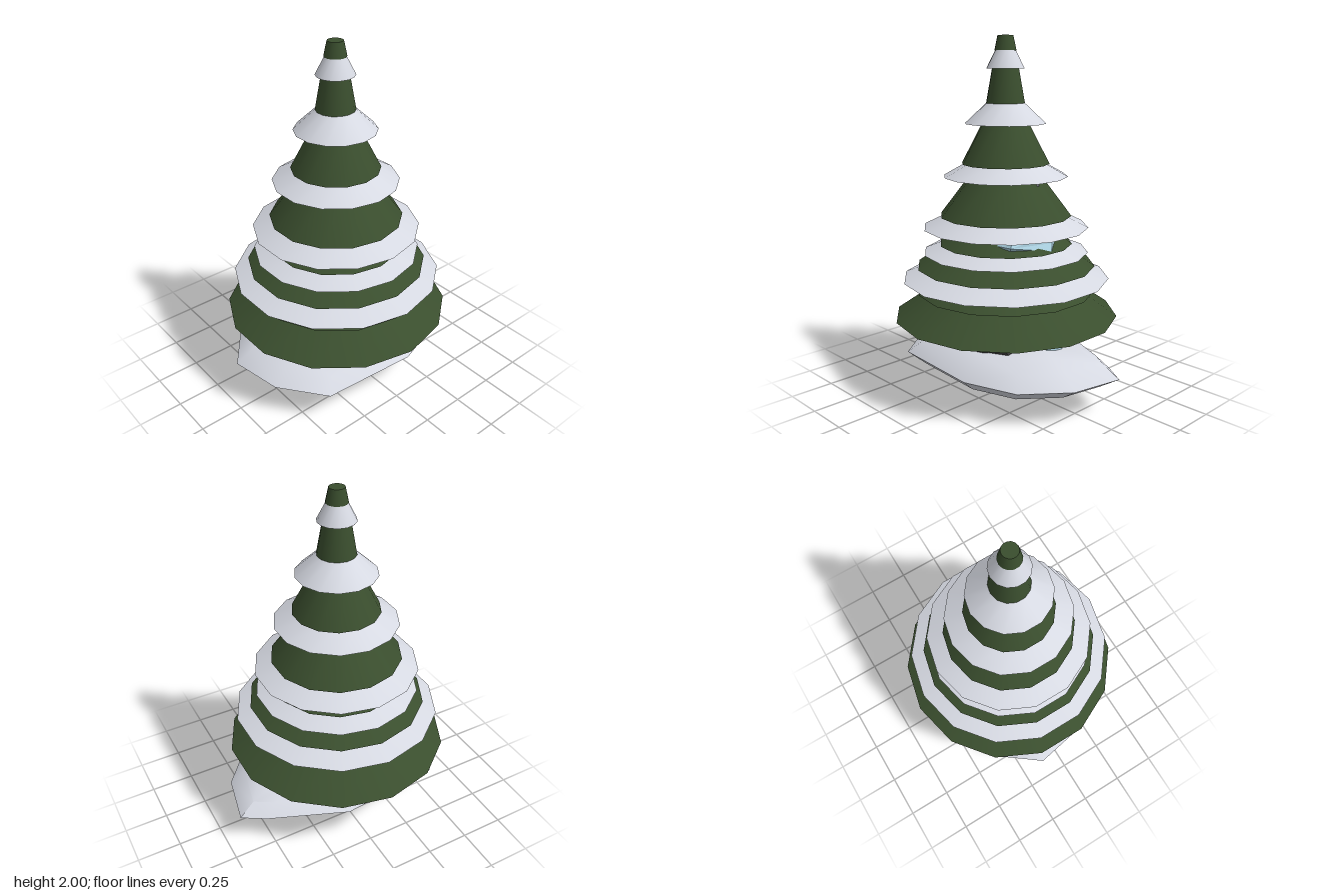
import * as THREE from 'three';
import { toCreasedNormals } from 'three/addons/utils/BufferGeometryUtils.js';

const mat = (name, color, extra = {}) => {
  const m = new THREE.MeshStandardMaterial({ color, ...extra });
  m.name = name;
  return m;
};

// Skin of rings (bottom to top, each [x, y, z] list running +z, +x, -z, -x), closed by fans
function loft(rings, bottom, top) {
  const n = rings[0].length, pos = [...rings.flat(2), ...bottom, ...top], idx = [];
  const b = rings.length * n, t = b + 1;
  for (let j = 0; j < n; j++) {
    const k = (j + 1) % n;
    for (let i = 0; i < rings.length - 1; i++) {
      const p = i * n, q = p + n;
      if ((i + j) % 2) idx.push(p + j, p + k, q + j, p + k, q + k, q + j);
      else idx.push(p + j, p + k, q + k, p + j, q + k, q + j);
    }
    idx.push(b, k, j, t, b - n + j, b - n + k);
  }
  const g = new THREE.BufferGeometry();
  g.setAttribute('position', new THREE.Float32BufferAttribute(pos, 3));
  g.setIndex(idx);
  return g;
}
const ring = (y, plan) => plan.map(([x, z]) => [x, y, z]);

export function createModel() {
  const group = new THREE.Group();
  const green = mat('pine green', 0x3a4e2e);
  const snow = mat('snow', 0xd6d9e2);
  const rock = mat('dark rock', 0x3c3c3c);
  const ice = mat('ice blue', 0xaed4e4);
  const AXIS = -0.04;

  const add = (name, geo, material) => {
    const mesh = new THREE.Mesh(geo, material);
    mesh.name = name;
    group.add(mesh);
    return mesh;
  };
  const addFaceted = (name, geo, material) => {
    const flat = geo.toNonIndexed();
    flat.computeVertexNormals();
    return add(name, flat, material);
  };

  // Tree tiers: [bottom y, bottom radius, top y, top radius]
  const tier = (name, material) => ([y0, r0, y1, r1]) => {
    const mesh = add(name, new THREE.CylinderGeometry(r1, r0, y1 - y0, 14), material);
    mesh.position.set(AXIS, (y0 + y1) / 2, 0);
  };
  [
    [0.445, 0.635, 0.6, 0.41],
    [0.59, 0.505, 0.68, 0.385],
    [0.735, 0.505, 0.82, 0.385],
    [0.86, 0.375, 0.965, 0.245],
    [1.02, 0.37, 1.25, 0.195],
    [1.31, 0.245, 1.54, 0.125],
    [1.64, 0.107, 1.83, 0.073],
    [1.92, 0.06, 2.0, 0.043],
  ].forEach(tier('branchTier', green));
  [
    [0.665, 0.585, 0.737, 0.4],
    [0.813, 0.465, 0.862, 0.345],
    [0.955, 0.465, 1.022, 0.33],
    [1.24, 0.347, 1.312, 0.22],
    [1.53, 0.225, 1.642, 0.105],
    [1.825, 0.105, 1.921, 0.056],
  ].forEach(tier('snowTier', snow));

  // Snow mound at the foot, one outline scaled level by level
  const outline = [
    [0.12, 0.46], [0.42, 0.36], [0.61, 0.13], [0.67, -0.16], [0.54, -0.24],
    [0.1, -0.42], [-0.5, -0.36], [-0.675, -0.13], [-0.62, 0.17], [-0.43, 0.42],
  ];
  const level = (y, s, lift = 0) => outline.map(([x, z]) =>
    [x * s, y + (x > 0.3 && z > 0 ? lift : 0), z * s]);
  const mound = loft([
    level(0.07, 0.48), level(0.13, 0.83), level(0.2, 1),
    level(0.265, 0.86, 0.01), level(0.3, 0.68, 0.02), level(0.305, 0.45, 0.04),
  ], [AXIS, 0.05, 0], [AXIS, 0.31, 0]);
  add('snowMound', toCreasedNormals(mound, 0.75), snow);

  // Dark rock between the mound and the lowest tier
  addFaceted('rock', loft([
    ring(0.28, [[-0.02, 0.3], [0.24, 0.22], [0.27, 0.02], [0.2, -0.18],
      [-0.08, -0.23], [-0.36, -0.2], [-0.49, 0], [-0.36, 0.24]]),
    ring(0.38, [[-0.04, 0.35], [0.22, 0.27], [0.29, 0.03], [0.24, -0.26],
      [-0.03, -0.4], [-0.38, -0.32], [-0.45, 0.02], [-0.34, 0.3]]),
    ring(0.455, [[0.03, 0.39], [0.26, 0.28], [0.28, 0], [0.24, -0.32],
      [-0.09, -0.52], [-0.36, -0.36], [-0.42, 0], [-0.38, 0.27]]),
  ], [AXIS, 0.26, 0], [AXIS, 0.46, 0]), rock);

  // Ice crystal leaning on the rock
  addFaceted('sideCrystal', loft([
    ring(0.29, [[0.27, 0.13], [0.34, 0.06], [0.34, -0.07], [0.27, -0.18], [0.1, 0]]),
    ring(0.455, [[0.28, 0.05], [0.34, 0.03], [0.34, -0.04], [0.28, -0.07], [0.15, 0]]),
  ], [0.25, 0.28, 0], [0.26, 0.458, 0]), ice);

  // Ice tip under the mound
  addFaceted('bottomCrystal', loft([
    ring(0.052, [[-0.04, 0.16], [0.13, 0.13], [0.2, 0], [0.08, -0.12], [-0.13, -0.12], [-0.2, 0.08]]),
    ring(0.09, [[-0.04, 0.14], [0.1, 0.11], [0.17, 0], [0.07, -0.1], [-0.11, -0.1], [-0.17, 0.07]]),
  ], [AXIS, 0, 0], [AXIS, 0.1, 0]), ice);

  // Ice lump breaking through the branches near mid height
  addFaceted('branchIce', loft([
    ring(0.87, [[-0.04, 0.24], [0.2, 0.2], [0.315, 0], [0.2, -0.2], [-0.04, -0.24],
      [-0.26, -0.2], [-0.39, 0], [-0.28, 0.2]]),
    ring(0.91, [[-0.04, 0.26], [0.24, 0.23], [0.3, -0.02], [0.19, -0.21], [-0.04, -0.24],
      [-0.26, -0.2], [-0.37, 0.02], [-0.29, 0.2]]),
    ring(0.957, [[-0.04, 0.22], [0.22, 0.2], [0.29, 0], [0.17, -0.17], [-0.04, -0.2],
      [-0.22, -0.16], [-0.31, 0], [-0.24, 0.19]]),
  ], [AXIS, 0.87, 0], [AXIS, 0.957, 0]), ice);

  // Tiny icicle below an upper snow tier
  const icicle = add('icicle', new THREE.CylinderGeometry(0.008, 0.006, 0.04, 5), snow);
  icicle.position.set(0.19, 1.223, -0.02);

  return group;
}
